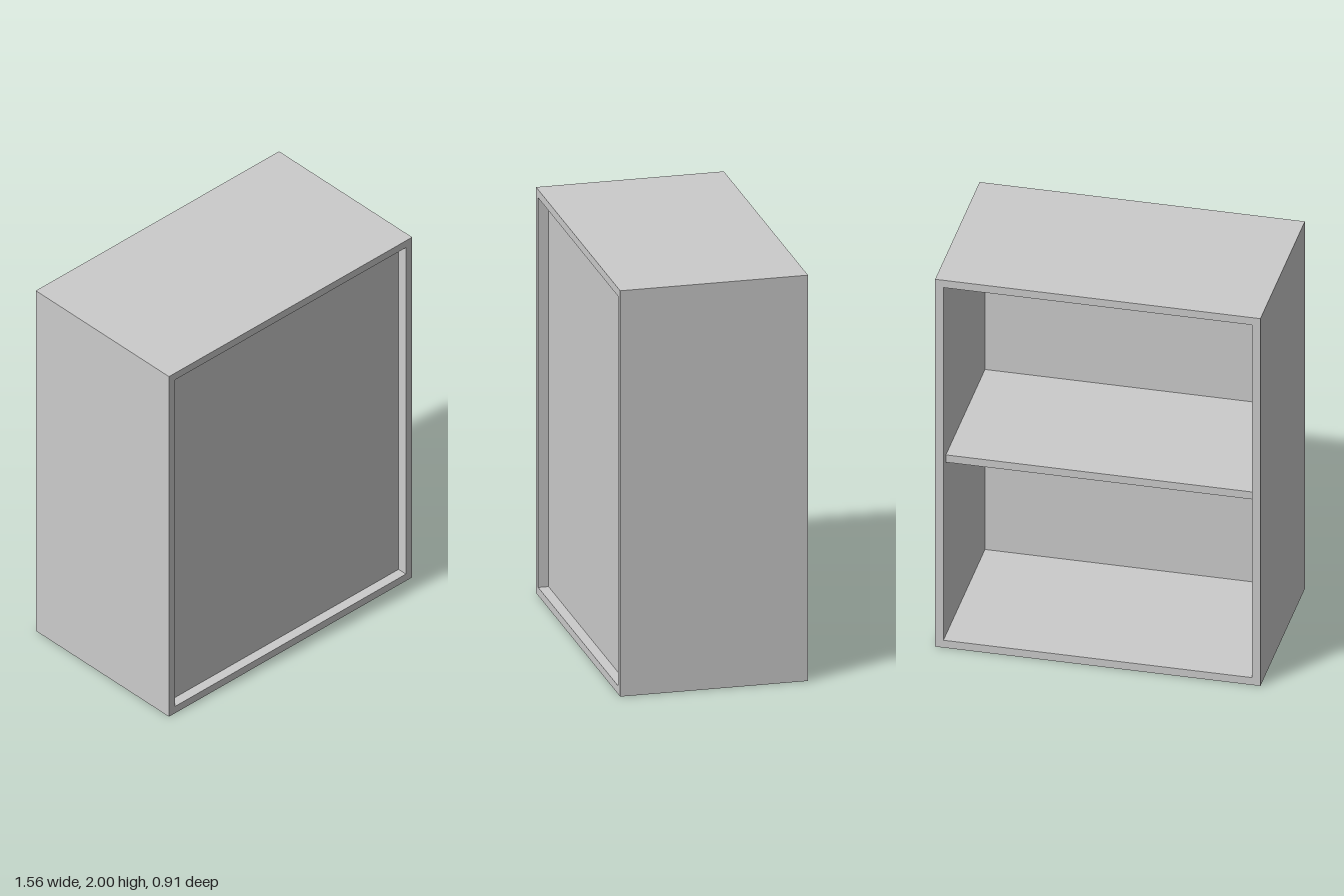
import * as THREE from 'three';

const W = 1.56, H = 2, D = 0.906, T = 0.04; // outer size and board thickness
const RECESS = 0.05, PANEL = 0.01;

export function createModel() {
  const cabinet = new THREE.Group();
  cabinet.name = 'cabinet';
  const material = new THREE.MeshStandardMaterial({ color: 0xcccccc });

  const add = (name, geometry, x, y, z) => {
    const mesh = new THREE.Mesh(geometry, material);
    mesh.name = name;
    mesh.position.set(x, y, z);
    cabinet.add(mesh);
  };

  const rectangle = (Type, w, h) => new Type([
    new THREE.Vector2(-w / 2, -h / 2), new THREE.Vector2(w / 2, -h / 2),
    new THREE.Vector2(w / 2, h / 2), new THREE.Vector2(-w / 2, h / 2),
  ]);

  // Carcass: top, bottom and sides as one rectangular tube
  const outline = rectangle(THREE.Shape, W, H);
  outline.holes.push(rectangle(THREE.Path, W - 2 * T, H - 2 * T));
  const carcass = new THREE.ExtrudeGeometry(outline, { depth: D, bevelEnabled: false });
  add('carcass', carcass, 0, H / 2, -D / 2);

  // Thin panel set back from the front edge
  const panelFront = D / 2 - RECESS;
  add('panel', new THREE.BoxGeometry(W - 2 * T, H - 2 * T, PANEL), 0, H / 2, panelFront - PANEL / 2);

  // Middle shelf, set back from the open side and meeting the panel
  const shelfOpen = -D / 2 + RECESS, shelfInner = panelFront - PANEL;
  add('shelf', new THREE.BoxGeometry(W - 2 * T, T, shelfInner - shelfOpen),
    0, H / 2, (shelfOpen + shelfInner) / 2);

  return cabinet;
}
